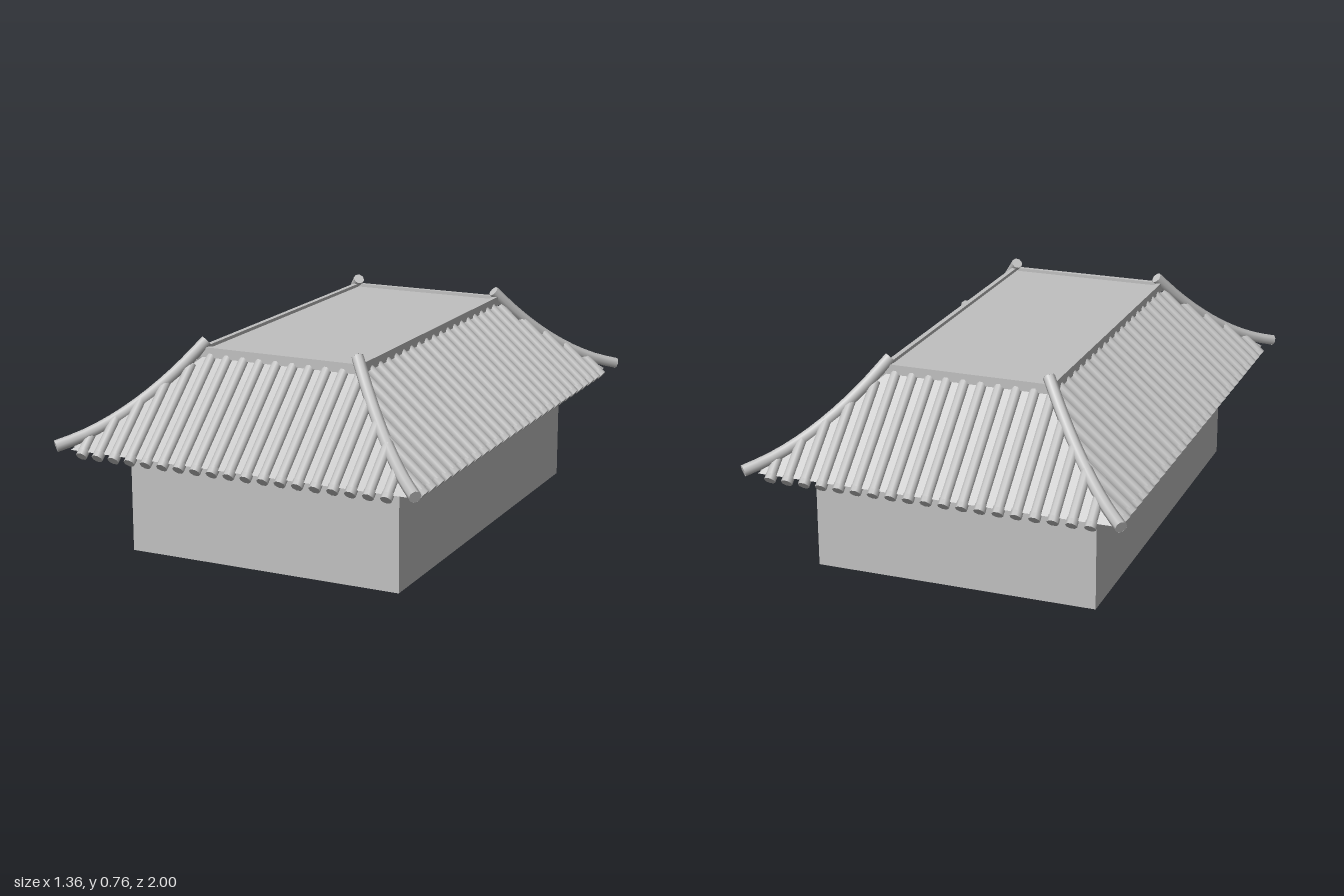
import * as THREE from 'three';

const TOP_X = 0.29, TOP_Z = 0.61;          // half size of the flat top
const EAVE = 0.34;                         // how far the slopes run outward
const TOP_Y = 0.695, EAVE_Y = 0.4;
const PITCH = Math.atan2(TOP_Y - EAVE_Y, EAVE);
const STRETCH = 1 / Math.cos(PITCH);       // outward distance to length on the slope

// height of the hip ridges at a distance d outward from the flat top
const hipY = (d) => 0.74 - 1.4 * d + 1.44 * d * d;

export function createModel() {
  const model = new THREE.Group();
  const grey = new THREE.MeshStandardMaterial({ color: 0xc0c0c0, side: THREE.DoubleSide });
  grey.name = 'stone grey';

  const add = (parent, name, geometry, x = 0, y = 0, z = 0) => {
    const mesh = new THREE.Mesh(geometry, grey);
    mesh.name = name;
    mesh.position.set(x, y, z);
    parent.add(mesh);
    return mesh;
  };

  // walls: an open four-sided tube
  const tube = new THREE.CylinderGeometry(Math.SQRT2, Math.SQRT2, 0.4, 4, 1, true, Math.PI / 4);
  const walls = tube.scale(0.51, 1, 0.76).toNonIndexed();
  walls.computeVertexNormals();
  add(model, 'walls', walls, 0, 0.2, 0);

  // flat top and its rim
  add(model, 'roofTop', new THREE.BoxGeometry(2 * TOP_X, 0.008, 2 * TOP_Z), 0, 0.709, 0);
  for (const s of [-1, 1]) {
    add(model, 'longRim', new THREE.BoxGeometry(0.018, 0.035, 1.25), s * 0.298, 0.707, 0);
    add(model, 'shortRim', new THREE.BoxGeometry(0.61, 0.035, 0.018), 0, 0.707, s * 0.617);
  }

  // four straight slopes, each built facing +z, tilted and turned into place
  for (let k = 0; k < 4; k++) {
    const end = k % 2 === 0;
    const w = end ? TOP_X : TOP_Z, l = end ? TOP_Z : TOP_X;
    const side = new THREE.Group();
    side.name = ['frontSlope', 'leftSlope', 'backSlope', 'rightSlope'][k];
    side.rotation.y = k * Math.PI / 2;
    model.add(side);
    const slope = new THREE.Group();
    slope.name = 'tiltedSlope';
    slope.position.set(0, TOP_Y, l);
    slope.rotation.x = PITCH;
    side.add(slope);

    const length = EAVE * STRETCH;
    const sheet = new THREE.Shape([
      new THREE.Vector2(-w, 0), new THREE.Vector2(-w - EAVE, -length),
      new THREE.Vector2(w + EAVE, -length), new THREE.Vector2(w, 0),
    ]);
    add(slope, 'roofSheet', new THREE.ShapeGeometry(sheet).rotateX(-Math.PI / 2));

    // tile ribs: half-round strips running down the slope, cut at the hips
    const step = end ? 0.063 : 0.0645, offset = end ? -0.012 : -0.02;
    for (let i = -16; i <= 16; i++) {
      const s = offset + i * step;
      const start = Math.max(0, Math.abs(s) - w);
      if (start > 0.31) continue;
      const from = start * STRETCH, ribLength = length - from;
      const rib = new THREE.CylinderGeometry(0.018, 0.018, ribLength, 5, 1, true, Math.PI / 2, Math.PI);
      rib.rotateX(Math.PI / 2);
      add(slope, 'tileRib', rib, s, 0, from + ribLength / 2);
      const tip = new THREE.CylinderGeometry(0.02, 0.02, 0.026, 8, 1, false, Math.PI / 8);
      tip.rotateX(Math.PI / 2);
      add(slope, 'tileTip', tip, s, -0.002, length + 0.006);
    }
  }

  // hip ridges sweeping from the flat top out past the corners
  for (const sx of [-1, 1]) for (const sz of [-1, 1]) {
    const points = [];
    for (let i = 0; i <= 6; i++) {
      const d = -0.003 + 0.378 * i / 6;
      points.push(new THREE.Vector3(sx * (TOP_X + d), hipY(d), sz * (TOP_Z + d)));
    }
    const curve = new THREE.CatmullRomCurve3(points);
    add(model, 'hipRidge', new THREE.TubeGeometry(curve, 12, 0.021, 8));
    for (const t of [0, 1]) {
      const out = curve.getTangent(t).multiplyScalar(t ? 1 : -1);
      const cap = add(model, 'hipRidgeEnd', new THREE.CircleGeometry(0.021, 8));
      cap.position.copy(curve.getPoint(t));
      cap.quaternion.setFromUnitVectors(new THREE.Vector3(0, 0, 1), out);
    }
  }
  return model;
}
